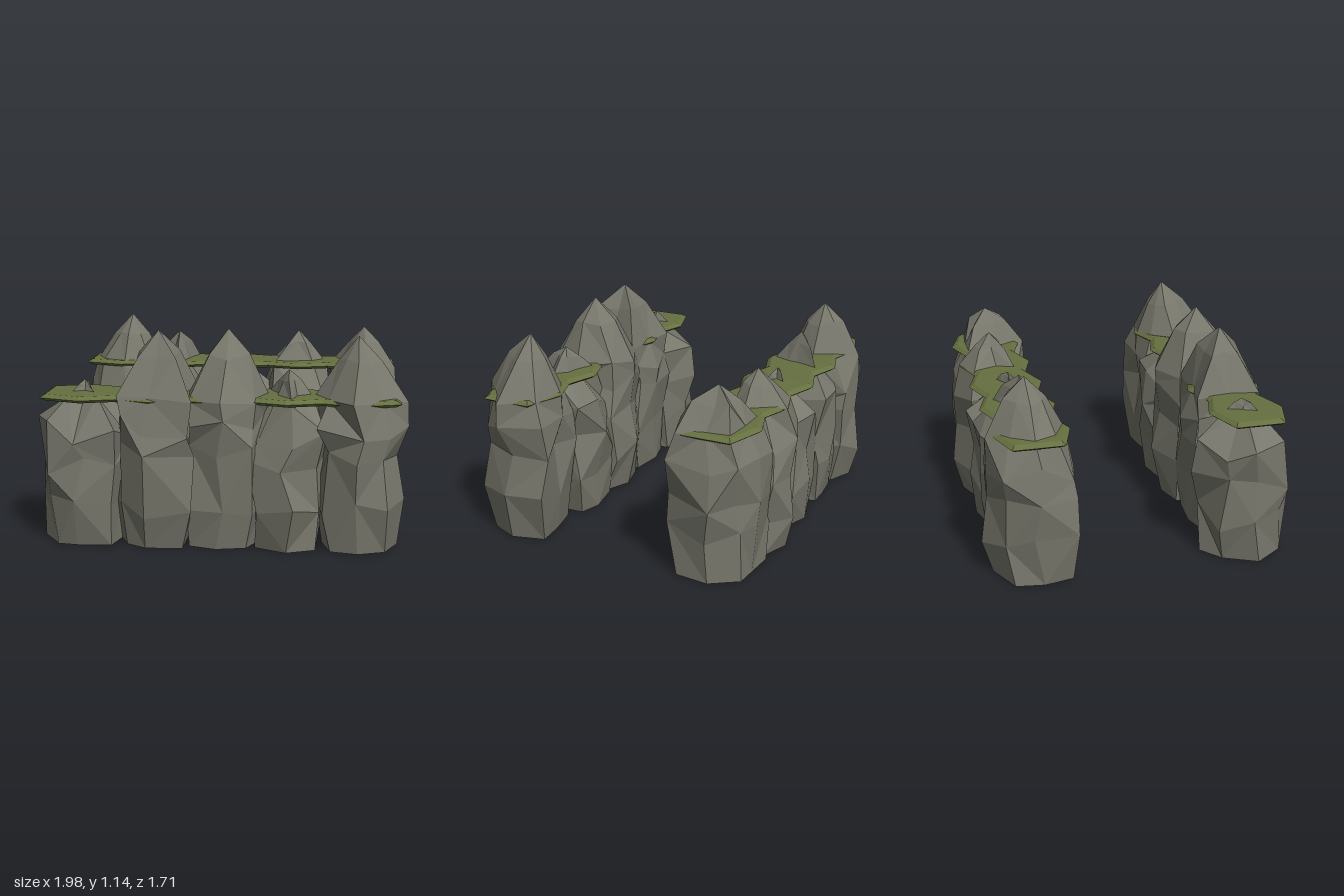
import * as THREE from 'three';

const SIDES = 8;
const PITCH = 0.36; // spacing of the rocks along a row
const ROW_Z = 0.58; // distance of each row from the middle
const LEDGE_Y = 0.78;

// small seeded random source
function seeded(seed) {
  let s = seed;
  return () => {
    s = (s * 16807) % 2147483647;
    return s / 2147483647;
  };
}

// One faceted rock pillar, open underneath.
// radii: outline every 45 degrees from +x towards +z. neck: width at ledge height.
// tip: [x, y, z] of the peak. arms: columns that form ridges. valley: depth between them.
function rockGeometry({ radii, neck, tip, arms, valley }, seed) {
  const rand = seeded(seed * 7919 + 13);
  for (let i = 0; i < 5; i++) rand();
  const tall = neck >= 0.95;
  const rise = tip[1] - LEDGE_Y;
  // [height, width, share of the peak's offset, unevenness, valley depth]
  const rings = [
    [0, 0.86, 0, 0.1, 0],
    [0.23, 0.97, 0, 0.15, 0],
    [tall ? 0.5 : 0.44, 0.95, 0, 0.17, 0],
    [tall ? 0.66 : 0.61, 0.97, 0, 0.14, 0],
    [tall ? 0.79 : LEDGE_Y, neck, tall ? 0.1 : 0.5, 0.06, valley],
    [LEDGE_Y + rise * 0.62, neck * 0.54, 0.8, 0.08, valley * 1.1],
  ];
  const pos = [];
  rings.forEach(([y, w, lean, rough, depth], r) => {
    for (let k = 0; k < SIDES; k++) {
      const a = (k / SIDES) * Math.PI * 2 + (rand() - 0.5) * 0.3;
      const cut = arms.includes(k) ? 0 : depth;
      const bulge = (k + seed) % 3 + 1 === r; // each column bulges once
      const d = radii[k] * (bulge ? 1 : (w - rand() * rough) * (1 - cut));
      const h = r === 0 ? 0 : y + (rand() - 0.5) * (r < 4 ? 0.12 : 0.03);
      pos.push(Math.cos(a) * d + tip[0] * lean, h, Math.sin(a) * d + tip[2] * lean);
    }
  });
  const top = pos.length / 3;
  pos.push(...tip);

  const index = [];
  const last = rings.length - 1;
  for (let k = 0; k < SIDES; k++) {
    const n = (k + 1) % SIDES;
    for (let r = 0; r < last; r++) {
      const a = r * SIDES + k, b = r * SIDES + n;
      const c = a + SIDES, d = b + SIDES;
      if ((r + k + seed) % 2) index.push(a, c, b, b, c, d);
      else index.push(a, c, d, a, d, b);
    }
    index.push(last * SIDES + k, top, last * SIDES + n); // peak
  }
  const g = new THREE.BufferGeometry();
  g.setAttribute('position', new THREE.Float32BufferAttribute(pos, 3));
  g.setIndex(index);
  return faceted(g);
}

function faceted(geometry) {
  const g = geometry.toNonIndexed();
  g.computeVertexNormals();
  return g;
}

// Thin six-sided grass ledge with a tapered rim
function ledgeGeometry() {
  const profile = [[0, 0.766], [0.225, 0.766], [0.258, 0.783], [0.225, 0.801], [0, 0.803]];
  const g = new THREE.LatheGeometry(profile.map(([x, y]) => new THREE.Vector2(x, y)), 6);
  const p = g.attributes.position;
  // blunt the front and back corners
  for (let i = 0; i < p.count; i++) p.setZ(i, p.getZ(i) * (Math.abs(p.getX(i)) < 0.01 ? 0.8 : 1.05));
  return faceted(g);
}

const EVEN = [0, 2, 4, 6];
const ODD = [1, 3, 5, 7];

// Rocks from the right-hand end (-x) to the left-hand end (+x)
const FRONT = [
  { radii: [0.23, 0.28, 0.25, 0.26, 0.28, 0.27, 0.3, 0.29], neck: 0.42, tip: [-0.01, 0.86, -0.03], arms: [1, 3, 6], valley: 0.6 },
  { radii: [0.23, 0.33, 0.27, 0.24, 0.22, 0.28, 0.24, 0.3], neck: 1, tip: [0.03, 1.13, -0.02], arms: ODD, valley: 0.26 },
  { radii: [0.26, 0.28, 0.25, 0.25, 0.18, 0.27, 0.29, 0.31], neck: 1, tip: [0.04, 1.14, -0.03], arms: EVEN, valley: 0.1 },
  { radii: [0.2, 0.26, 0.28, 0.27, 0.2, 0.29, 0.26, 0.3], neck: 0.66, tip: [0, 0.93, -0.02], arms: [0, 2, 5], valley: 0.5 },
  { radii: [0.27, 0.27, 0.26, 0.28, 0.22, 0.25, 0.2, 0.32], neck: 1, tip: [0, 1.11, -0.03], arms: EVEN, valley: 0.28 },
];
const BACK = [
  { radii: [0.25, 0.29, 0.23, 0.29, 0.25, 0.27, 0.27, 0.3], neck: 0.88, tip: [0.04, 1.07, -0.02], arms: EVEN, valley: 0.22 },
  { radii: [0.21, 0.27, 0.24, 0.26, 0.2, 0.25, 0.22, 0.28], neck: 0.68, tip: [-0.02, 0.97, 0.01], arms: [2, 4, 7], valley: 0.5 },
  { radii: [0.2, 0.26, 0.2, 0.26, 0.22, 0.26, 0.23, 0.27], neck: 0.36, tip: [-0.02, 0.86, 0.01], arms: [1, 4, 7], valley: 0.6 },
  { radii: [0.23, 0.3, 0.25, 0.26, 0.21, 0.28, 0.27, 0.29], neck: 0.76, tip: [0, 0.98, -0.03], arms: [0, 3, 5, 6], valley: 0.36 },
  { radii: [0.27, 0.32, 0.28, 0.24, 0.22, 0.28, 0.22, 0.25], neck: 0.85, tip: [0.04, 1.01, 0.01], arms: [1, 2, 5, 7], valley: 0.28 },
];

export function createModel() {
  const model = new THREE.Group();
  model.name = 'rockWalls';
  const rock = new THREE.MeshStandardMaterial({ color: 0x77776c, side: THREE.DoubleSide });
  rock.name = 'grey rock';
  const grass = new THREE.MeshStandardMaterial({ color: 0x667040 });
  grass.name = 'moss green';
  const ledge = ledgeGeometry();

  [['frontWall', FRONT, ROW_Z], ['backWall', BACK, -ROW_Z]].forEach(([name, rocks, z], row) => {
    const wall = new THREE.Group();
    wall.name = name;
    wall.position.z = z;
    rocks.forEach((spec, i) => {
      const pillar = new THREE.Mesh(rockGeometry(spec, row * 5 + i + 1), rock);
      pillar.name = 'rockPillar';
      const cap = new THREE.Mesh(ledge, grass);
      cap.name = 'grassLedge';
      pillar.position.x = cap.position.x = (i - 2) * PITCH;
      wall.add(pillar, cap);
    });
    model.add(wall);
  });
  return model;
}
